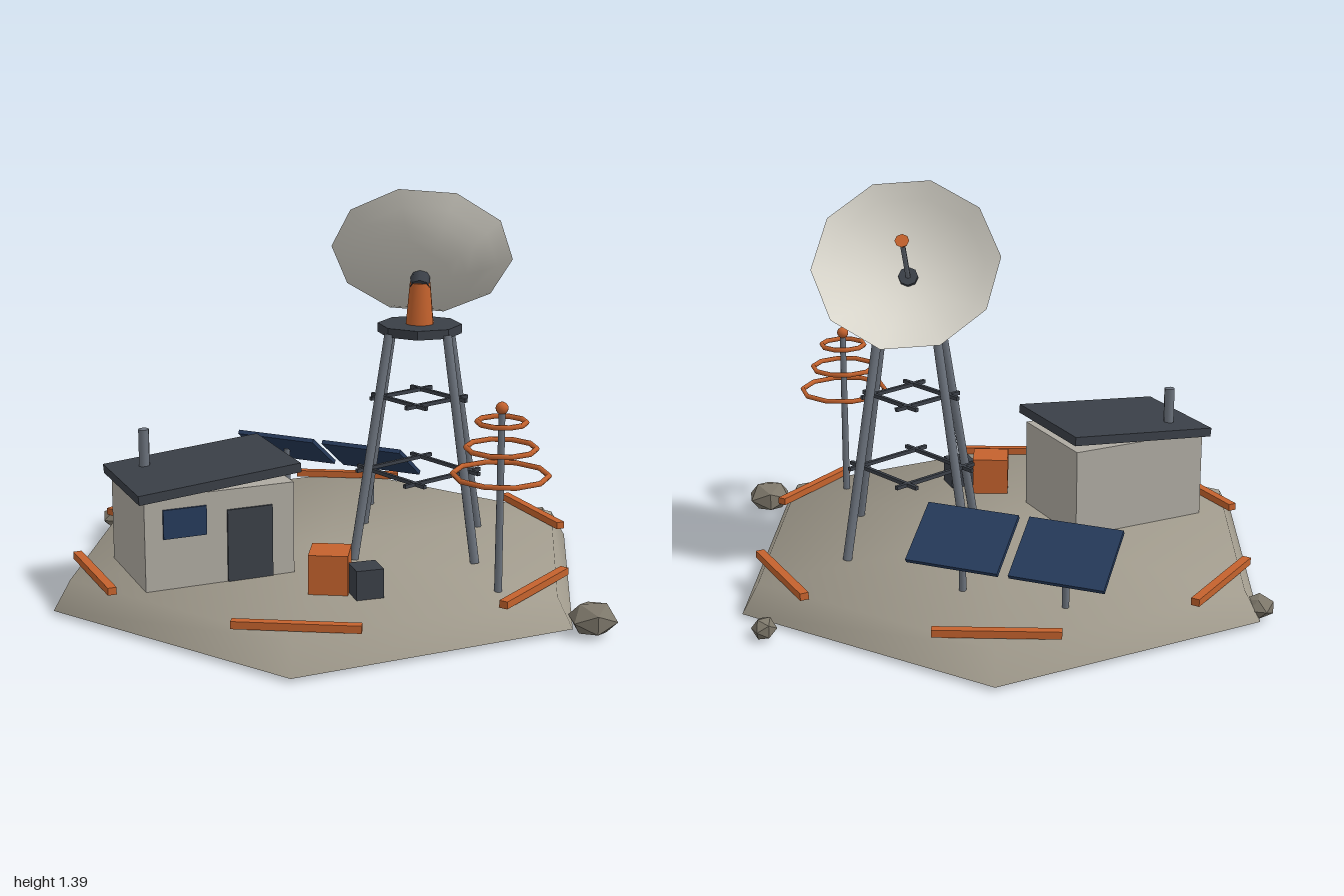
import * as THREE from 'three';
import { toCreasedNormals } from 'three/addons/utils/BufferGeometryUtils.js';

const mat = (color, opts = {}) => new THREE.MeshStandardMaterial({ color, ...opts });
const M = {
  ground: mat(0xa09a8c), wall: mat(0xaeaaa1), dark: mat(0x3a3f47), steel: mat(0x6b727c),
  orange: mat(0xc4622d), navy: mat(0x263a5a), dish: mat(0xd8d5cb, { side: THREE.DoubleSide }),
  rock: mat(0x7d776a, { flatShading: true }),
};

function add(parent, name, geometry, material, x = 0, y = 0, z = 0) {
  const mesh = new THREE.Mesh(geometry, material);
  mesh.name = name;
  mesh.position.set(x, y, z);
  parent.add(mesh);
  return mesh;
}

function group(parent, name, x = 0, y = 0, z = 0, turn = 0) {
  const g = new THREE.Group();
  g.name = name;
  g.position.set(x, y, z);
  g.rotation.y = turn;
  parent.add(g);
  return g;
}

const box = (w, h, d) => new THREE.BoxGeometry(w, h, d);
const cyl = (top, bottom, h, sides = 8) => new THREE.CylinderGeometry(top, bottom, h, sides);

// Round bar between two points
function bar(parent, name, a, b, r, material, sides = 8) {
  const dir = b.clone().sub(a);
  const mesh = add(parent, name, cyl(r, r, dir.length(), sides), material);
  mesh.position.copy(a).add(b).multiplyScalar(0.5);
  mesh.quaternion.setFromUnitVectors(new THREE.Vector3(0, 1, 0), dir.normalize());
  return mesh;
}

const GROUND = 0.12;

function buildBase(root) {
  const base = group(root, 'base', -0.05, 0, 0);
  add(base, 'groundSlab', toCreasedNormals(cyl(0.94, 1, 0.1, 6), 1.1), M.ground, 0, 0.07, 0);
  // One kerb across each corner of the hexagon
  for (let i = 0; i < 6; i++) {
    const arm = group(base, 'kerb', 0, 0, 0, i * Math.PI / 3);
    add(arm, 'kerbBar', box(0.41, 0.025, 0.03), M.orange, 0, 0.135, 0.855);
  }
}

function buildHut(root) {
  const hut = group(root, 'hut', -0.446, GROUND, 0.27, 0.5);
  add(hut, 'walls', box(0.525, 0.32, 0.385), M.wall, 0, 0.16, 0);
  const roof = add(hut, 'roof', box(0.57, 0.032, 0.425), M.dark, 0, 0.346, -0.005);
  roof.rotation.z = 0.09;
  add(hut, 'door', box(0.16, 0.25, 0.015), M.dark, 0.103, 0.126, 0.193);
  add(hut, 'window', box(0.15, 0.1, 0.015), M.navy, -0.125, 0.226, 0.193);
  add(hut, 'chimney', cyl(0.019, 0.019, 0.16), M.steel, -0.168, 0.395, -0.11);
}

function buildTower(root) {
  const tower = group(root, 'tower', 0.277, 0, -0.05);
  for (const sx of [-1, 1]) for (const sz of [-1, 1]) {
    bar(tower, 'leg', new THREE.Vector3(sx * 0.21, GROUND, sz * 0.21),
      new THREE.Vector3(sx * 0.1, 0.9, sz * 0.1), 0.016, M.steel);
  }
  // Two levels of four crossing braces, set diagonally
  for (const [y, dist, length] of [[0.39, 0.128, 0.357], [0.655, 0.093, 0.288]]) {
    for (let i = 0; i < 4; i++) {
      const side = group(tower, 'braceSide', 0, y, 0, Math.PI / 4 + i * Math.PI / 2);
      add(side, 'brace', box(length, 0.013, 0.013), M.dark, 0, 0, dist);
    }
  }
  add(tower, 'platform', toCreasedNormals(cyl(0.147, 0.147, 0.032, 8), 0.5), M.dark, 0, 0.905, 0);
  add(tower, 'pedestal', cyl(0.037, 0.05, 0.145, 10), M.orange, 0, 0.993, 0);

  // Dish assembly: local +y is the pointing axis, origin at the bowl's apex
  const head = group(tower, 'dishHead', 0, 1.08, -0.018);
  head.rotation.x = -0.905;
  const profile = [];
  for (let i = 0; i <= 6; i++) {
    const t = i / 6;
    profile.push(new THREE.Vector2(Math.max(0.32 * t, 0.0001), 0.118 * t * t));
  }
  add(head, 'dish', new THREE.LatheGeometry(profile, 10, 0.4), M.dish);
  add(head, 'hub', cyl(0.034, 0.034, 0.06, 8), M.dark, 0, -0.015, 0);
  add(head, 'feedArm', cyl(0.009, 0.009, 0.27, 6), M.steel, 0, 0.135, 0);
  add(head, 'feedHorn', cyl(0.024, 0.008, 0.035, 8), M.orange, 0, 0.275, 0);
}

function buildMast(root) {
  const mast = group(root, 'ringMast', 0.57, 0, 0.437);
  add(mast, 'mastPole', cyl(0.011, 0.013, 0.61), M.steel, 0, GROUND + 0.305, 0);
  add(mast, 'mastBall', new THREE.SphereGeometry(0.021, 10, 8), M.orange, 0, 0.743, 0);
  for (const [r, y] of [[0.157, 0.52], [0.115, 0.61], [0.08, 0.697]]) {
    const ring = add(mast, 'mastRing', new THREE.TorusGeometry(r, 0.009, 6, 10), M.orange, 0, y, 0);
    ring.rotation.x = Math.PI / 2;
  }
}

function buildSolar(root) {
  for (const [x, z] of [[-0.267, -0.624], [0.074, -0.503]]) {
    const solar = group(root, 'solarPanel', x, 0, z, -0.35);
    add(solar, 'panelPost', cyl(0.012, 0.012, 0.18, 6), M.steel, 0, GROUND + 0.09, 0);
    const panel = add(solar, 'panel', box(0.325, 0.016, 0.235), M.navy, 0, 0.305, 0);
    panel.rotation.x = -0.6;
  }
}

function buildLooseParts(root) {
  add(root, 'orangeCrate', box(0.132, 0.135, 0.132), M.orange, 0.015, GROUND + 0.0675, 0.465);
  add(root, 'darkCrate', box(0.094, 0.1, 0.094), M.dark, 0.138, GROUND + 0.05, 0.513).rotation.y = 0.4;
  const rocks = [
    [0.88, 0.06, 0.5, 0.085, 0.2], [-0.915, 0.052, -0.445, 0.058, 1.4], [0.717, 0.042, -0.652, 0.043, 0.6],
  ];
  for (const [x, y, z, r, turn] of rocks) {
    const rock = add(root, 'rock', new THREE.IcosahedronGeometry(r, 0), M.rock, x, y, z);
    rock.scale.y = r > 0.05 ? 0.7 : 0.95;
    rock.rotation.y = turn;
  }
}

export function createModel() {
  const root = new THREE.Group();
  root.name = 'radioOutpost';
  buildBase(root);
  buildHut(root);
  buildTower(root);
  buildMast(root);
  buildSolar(root);
  buildLooseParts(root);
  return root;
}
